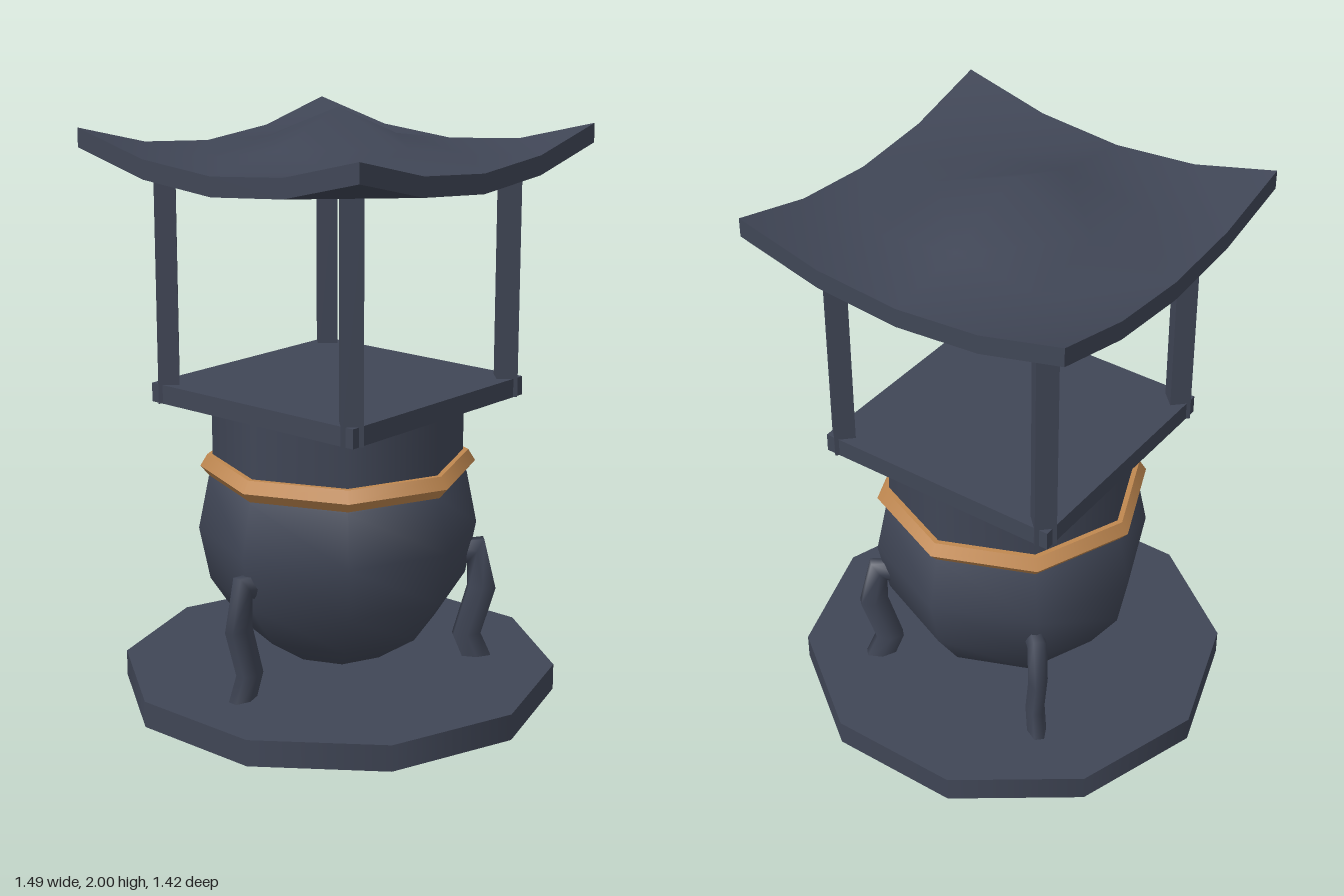
import * as THREE from 'three';

export function createModel() {
  const model = new THREE.Group();
  model.name = 'lantern';

  const iron = new THREE.MeshStandardMaterial({ color: 0x404656, side: THREE.DoubleSide });
  iron.name = 'dark iron';
  const brass = new THREE.MeshStandardMaterial({ color: 0xc08850, side: THREE.DoubleSide });
  brass.name = 'brass';

  function add(name, geometry, material, x = 0, y = 0, z = 0, parent = model) {
    const mesh = new THREE.Mesh(geometry, material);
    mesh.name = name;
    mesh.position.set(x, y, z);
    parent.add(mesh);
    return mesh;
  }

  // Ten-sided base, a shallow tray turned upside down
  add('baseRim', new THREE.CylinderGeometry(0.745, 0.745, 0.09, 10, 1, true).rotateY(Math.PI / 2), iron, 0, 0.045, 0);
  add('baseTop', new THREE.CircleGeometry(0.745, 10).rotateX(-Math.PI / 2), iron, 0, 0.09, 0);

  // Round pot, neck and sharp-edged trim band
  add('pot', new THREE.SphereGeometry(0.475, 8, 8), iron, 0, 0.577, 0);
  add('neck', new THREE.CylinderGeometry(0.425, 0.425, 0.28, 8), iron, 0, 0.9, 0);
  add('bandUpper', new THREE.CylinderGeometry(0.443, 0.467, 0.04, 8), brass, 0, 0.817, 0);
  add('bandLower', new THREE.CylinderGeometry(0.467, 0.432, 0.04, 8), brass, 0, 0.777, 0);

  // Three crooked legs, each ending in a flared brass foot under the base
  const legPoints = [[0.02, 0.51], [0.17, 0.447], [0.34, 0.497], [0.478, 0.475], [0.46, 0.39]];
  const legCurve = new THREE.CatmullRomCurve3(legPoints.map(([y, z]) => new THREE.Vector3(0, y, z)));
  // Sample exactly at the bends
  legCurve.getPointAt = legCurve.getPoint;
  legCurve.getTangentAt = legCurve.getTangent;
  const legGeometry = new THREE.TubeGeometry(legCurve, legPoints.length - 1, 0.055, 6).scale(0.61, 1, 1);
  const footGeometry = new THREE.CylinderGeometry(0.055, 0.08, 0.05, 6, 1, true);
  [['front', 0], ['backLeft', 135], ['backRight', -135]].forEach(([side, degrees]) => {
    const leg = new THREE.Group();
    leg.name = side + 'LegGroup';
    leg.rotation.y = THREE.MathUtils.degToRad(degrees);
    add(side + 'Leg', legGeometry, iron, 0, 0, 0, leg);
    add(side + 'Foot', footGeometry, brass, 0, 0.026, 0.505, leg);
    model.add(leg);
  });

  // Square platform with four posts turned corner-on
  add('platform', new THREE.BoxGeometry(0.88, 0.064, 0.88), iron, 0, 1.057, 0);
  const postGeometry = new THREE.CylinderGeometry(0.05, 0.05, 0.79, 4).toNonIndexed();
  postGeometry.computeVertexNormals();
  for (const x of [-1, 1]) {
    for (const z of [-1, 1]) {
      add((z > 0 ? 'front' : 'back') + (x > 0 ? 'Left' : 'Right') + 'Post', postGeometry, iron, x * 0.4, 1.42, z * 0.4);
    }
  }

  // Roof: a coarse slab with a pointed centre and corners folded up along the diamond between edge middles
  const half = 0.595;
  const roof = new THREE.BoxGeometry(half * 2, 0.064, half * 2, 4, 1, 4);
  const p = roof.attributes.position;
  const spread = (i) => (Math.abs(p.getX(i)) + Math.abs(p.getZ(i))) / half;
  for (let i = 0; i < p.count; i++) {
    const s = spread(i);
    const rise = s < 1 ? 0.16 * Math.pow(1 - s, 1.8) : 0.1 * Math.pow(s - 1, 2);
    p.setY(i, p.getY(i) + rise);
  }
  // Turn quad diagonals so that they follow the folds
  const index = roof.index.array;
  for (let q = 0; q < index.length; q += 6) {
    const [a, b, d, , c] = index.slice(q, q + 6);
    if (Math.abs(spread(b) - spread(d)) > 0.01) index.set([a, b, c, a, c, d], q);
  }
  roof.computeVertexNormals();
  add('roof', roof, iron, 0, 1.808, 0);

  return model;
}
